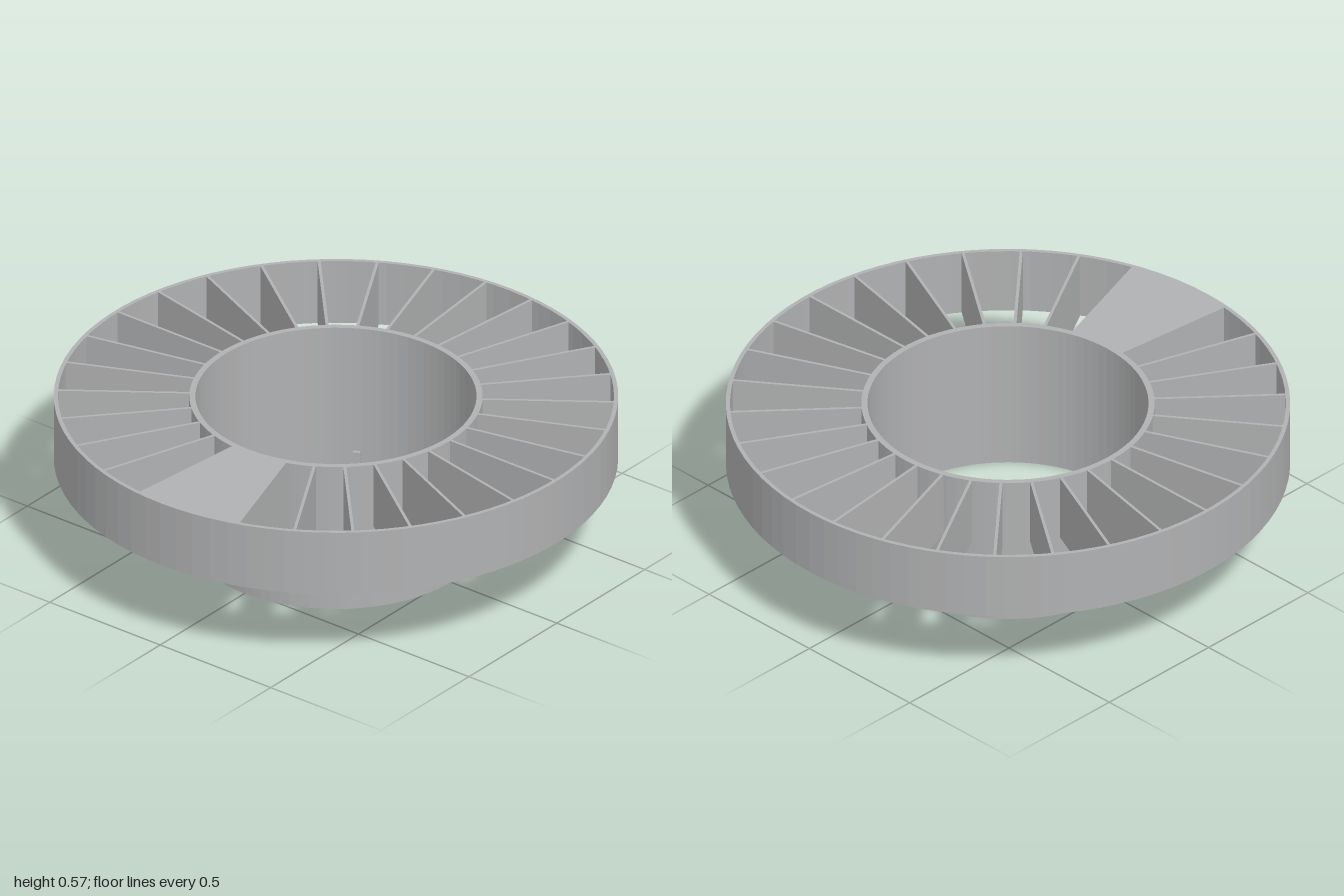
import * as THREE from 'three';

const TOP = 0.575, RIM_BOTTOM = 0.325;
const HUB_INNER = 0.498, HUB_OUTER = 0.52, RIM_INNER = 0.985, RIM_OUTER = 1;
const VANES = 30, STEP = (Math.PI * 2) / VANES;

export function createModel() {
  const model = new THREE.Group();
  model.name = 'vanedRing';
  const grey = new THREE.MeshStandardMaterial({ color: 0xb0b1b2, flatShading: true });
  grey.name = 'plain grey';

  const add = (name, geometry) => {
    const mesh = new THREE.Mesh(geometry, grey);
    mesh.name = name;
    model.add(mesh);
    return mesh;
  };

  // Closed rectangular section turned about the y axis
  const ring = (name, inner, outer, y0, y1) => add(name, new THREE.LatheGeometry(
    [[inner, y0], [outer, y0], [outer, y1], [inner, y1], [inner, y0]]
      .map(([r, y]) => new THREE.Vector2(r, y)), 90));

  // Box running radially between two radii; angle goes from +x towards +z
  const radialBox = (name, angle, r0, r1, y0, y1, width) => {
    const geometry = new THREE.BoxGeometry(r1 - r0, y1 - y0, width);
    geometry.translate((r0 + r1) / 2, (y0 + y1) / 2, 0);
    add(name, geometry).rotation.y = -angle;
  };

  ring('hub', HUB_INNER, HUB_OUTER, 0, TOP);
  ring('outerRim', RIM_INNER, RIM_OUTER, RIM_BOTTOM, TOP);

  // Radial vanes dividing the ring into cells
  for (let i = 0; i < VANES; i++) {
    radialBox('vane', i * STEP, 0.515, 0.99, RIM_BOTTOM, TOP, 0.011);
  }

  // Flush cover closing two cells at the front
  const a0 = 6 * STEP - 0.005, a1 = 8 * STEP + 0.005;
  const sector = new THREE.Shape();
  sector.absarc(0, 0, 0.993, a0, a1, false);
  sector.absarc(0, 0, 0.508, a1, a0, true);
  const cover = new THREE.ExtrudeGeometry(sector, { depth: 0.015, bevelEnabled: false, curveSegments: 8 });
  cover.rotateX(Math.PI / 2);
  cover.translate(0, TOP, 0);
  add('cellCover', cover);

  // Three locating tabs inside the foot of the hub
  for (let i = 0; i < 3; i++) {
    radialBox('tab', (i * Math.PI * 2) / 3, 0.483, 0.503, 0, 0.08, 0.027);
  }
  return model;
}
